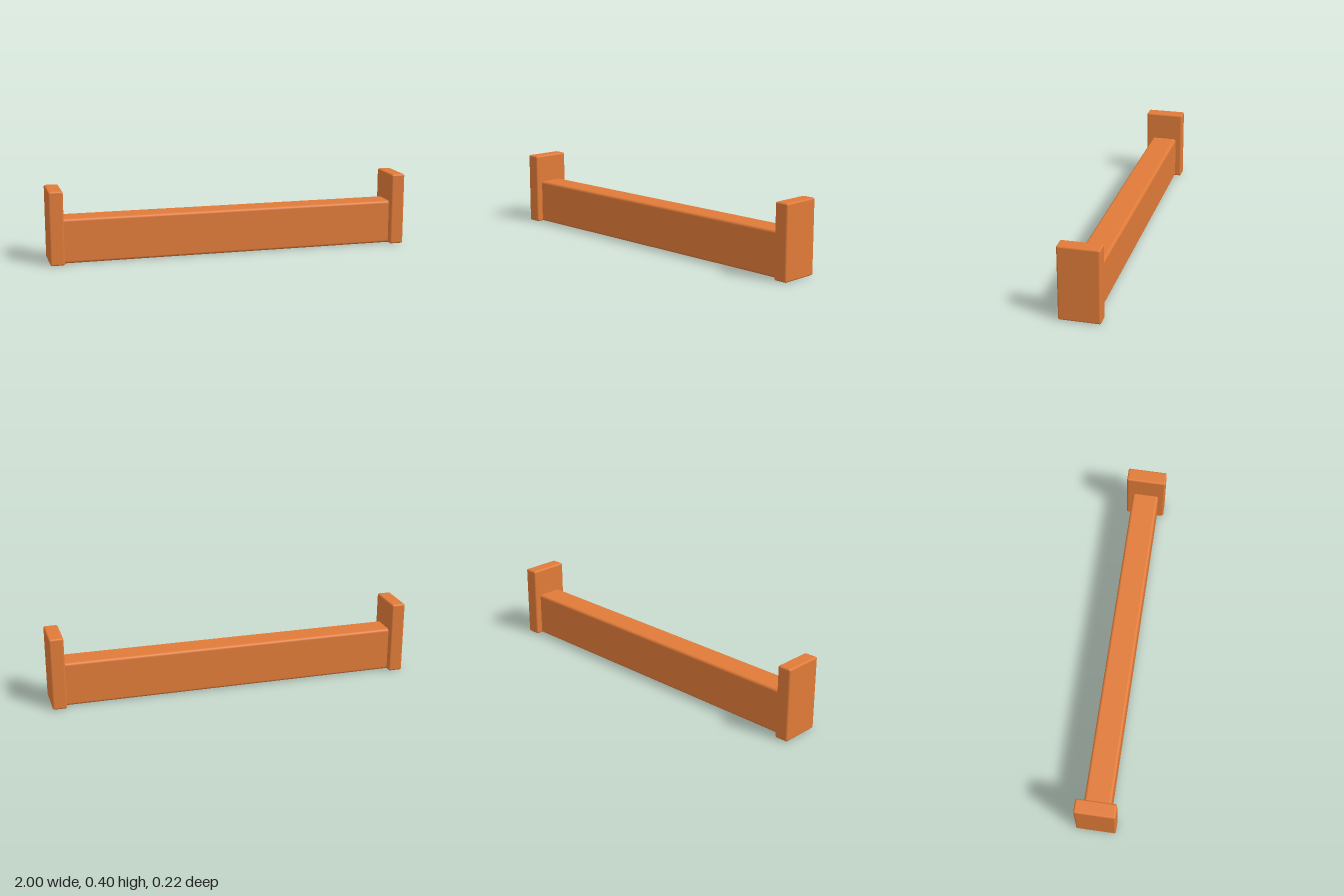
import * as THREE from 'three';
import { RoundedBoxGeometry } from 'three/addons/geometries/RoundedBoxGeometry.js';

export function createModel() {
  const group = new THREE.Group();
  const material = new THREE.MeshStandardMaterial({ color: 0xe07b39 });

  // Rounded block standing on the ground
  function block(name, width, height, depth, radius, x) {
    const mesh = new THREE.Mesh(new RoundedBoxGeometry(width, height, depth, 4, radius), material);
    mesh.name = name;
    mesh.position.set(x, height / 2, 0);
    group.add(mesh);
  }

  // Long beam, its ends sunk into the posts
  block('beam', 1.9, 0.243, 0.146, 0.015, 0);

  // Taller end posts
  const postWidth = 0.077;
  for (const [name, side] of [['leftPost', 1], ['rightPost', -1]]) {
    block(name, postWidth, 0.4, 0.218, 0.01, side * (1 - postWidth / 2));
  }

  return group;
}
